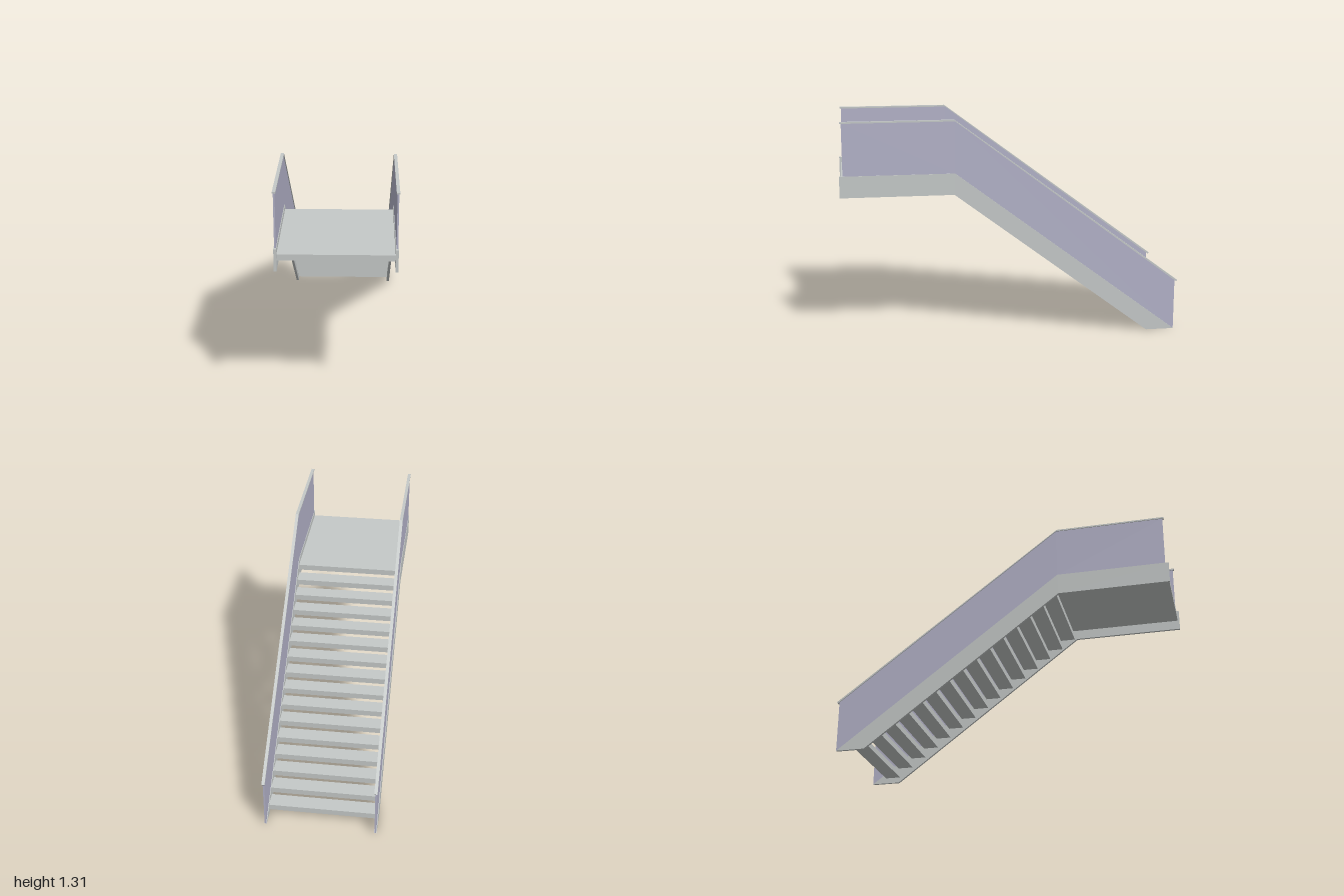
import * as THREE from 'three';

const metal = new THREE.MeshStandardMaterial({ color: 0xc5c9c8 });
metal.name = 'light grey';
const panelPaint = new THREE.MeshStandardMaterial({ color: 0xb3b2c8 });
panelPaint.name = 'lavender grey';

// Side profile given as [z, y] points, extruded across x and centred on xMid
function sidePlate(name, points, xMid, width, material) {
  const shape = new THREE.Shape(points.map(([z, y]) => new THREE.Vector2(z, y)));
  const geometry = new THREE.ExtrudeGeometry(shape, { depth: width, bevelEnabled: false });
  geometry.rotateY(-Math.PI / 2).translate(xMid + width / 2, 0, 0);
  const mesh = new THREE.Mesh(geometry, material);
  mesh.name = name;
  return mesh;
}

function slab(name, zBack, zFront, top) {
  const thickness = 0.034;
  const mesh = new THREE.Mesh(new THREE.BoxGeometry(0.62, thickness, zFront - zBack), metal);
  mesh.position.set(0, top - thickness / 2, (zBack + zFront) / 2);
  mesh.name = name;
  return mesh;
}

export function createModel() {
  const group = new THREE.Group();
  group.name = 'staircase';

  // Open treads climbing to the landing
  const steps = 15, rise = 0.06, run = 0.0813;
  for (let i = 0; i < steps; i++) {
    const z = -0.9 + i * run;
    group.add(slab('tread', z, z + 0.092, 0.067 + i * rise));
  }
  group.add(slab('landing', 0.32, 0.99, 0.967));

  // Matching stringer, panel and handrail on both sides
  for (const [side, s] of [['left', 1], ['right', -1]]) {
    const x = s * 0.3175;
    group.add(sidePlate(side + 'Stringer', [
      [1, 0.875], [1, 1], [0.34, 1], [-0.985, 0], [-0.815, 0], [0.345, 0.875],
    ], x, 0.015, metal));
    group.add(sidePlate(side + 'Panel', [
      [0.98, 1], [0.98, 1.303], [0.34, 1.303], [-0.985, 0.306], [-0.985, 0], [0.34, 1],
    ], x, 0.009, panelPaint));
    group.add(sidePlate(side + 'Handrail', [
      [0.988, 1.301], [0.988, 1.31], [0.342, 1.31], [-1, 0.306], [-0.994, 0.298], [0.338, 1.301],
    ], x, 0.018, metal));
  }
  return group;
}
